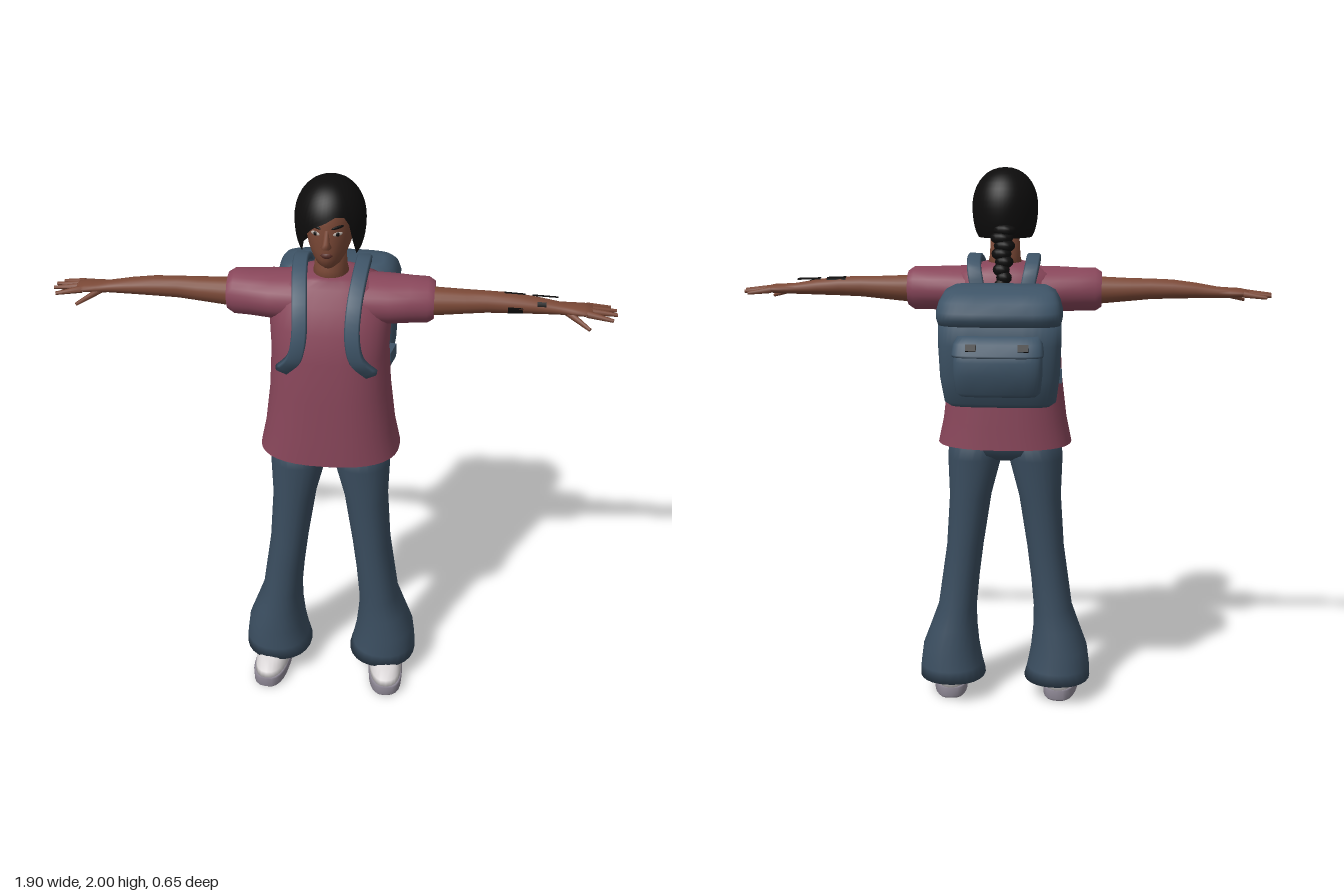
import * as THREE from 'three';

const mat = (name, color, side = THREE.FrontSide) => {
  const m = new THREE.MeshStandardMaterial({ color, side });
  m.name = name;
  return m;
};

// Stacks superellipse rings [y, cx, cz, rx, rz] into a smooth skin
function loft(rings, { n = 2, seg = 24, bottom = true, top = true } = {}) {
  const pos = [], idx = [];
  const bend = v => Math.sign(v) * Math.abs(v) ** (2 / n);
  for (const [y, cx, cz, rx, rz] of rings) {
    for (let k = 0; k < seg; k++) {
      const a = k / seg * Math.PI * 2;
      pos.push(cx + rx * bend(Math.cos(a)), y, cz + rz * bend(Math.sin(a)));
    }
  }
  for (let j = 0; j < rings.length - 1; j++) {
    for (let k = 0; k < seg; k++) {
      const a = j * seg + k, b = j * seg + (k + 1) % seg;
      idx.push(a, a + seg, b, a + seg, b + seg, b);
    }
  }
  const cap = (j, up) => {
    const [y, cx, cz] = rings[j], c = pos.length / 3;
    pos.push(cx, y, cz);
    for (let k = 0; k < seg; k++) {
      const a = j * seg + k, b = j * seg + (k + 1) % seg;
      idx.push(c, up ? b : a, up ? a : b);
    }
  };
  if (bottom) cap(0, false);
  if (top) cap(rings.length - 1, true);
  return build(pos, idx);
}

function build(pos, idx) {
  const g = new THREE.BufferGeometry();
  g.setAttribute('position', new THREE.Float32BufferAttribute(pos, 3));
  g.setIndex(idx);
  g.computeVertexNormals();
  return g;
}

// Same loft running along x, rings [x, cy, cz, ry, rz]
const loftX = (rings, opts) =>
  loft(rings.map(([x, cy, cz, ry, rz]) => [x, -cy, cz, ry, rz]), opts).rotateZ(-Math.PI / 2);

// Rings given by front and back limits: [y, halfWidth, zBack, zFront]
const span = rows => rows.map(([y, rx, z0, z1]) => [y, 0, (z0 + z1) / 2, rx, (z1 - z0) / 2]);

// Tapered rod between two points
function rod(a, b, r0, r1) {
  const p = new THREE.Vector3(...a), q = new THREE.Vector3(...b), d = q.clone().sub(p);
  const g = new THREE.CylinderGeometry(r1, r0, d.length(), 8);
  g.applyQuaternion(new THREE.Quaternion().setFromUnitVectors(new THREE.Vector3(0, 1, 0), d.normalize()));
  const m = p.add(q).multiplyScalar(0.5);
  return g.translate(m.x, m.y, m.z);
}

// Flat webbing that follows a curve
function strap(points, w, t, steps = 28) {
  const curve = new THREE.CatmullRomCurve3(points.map(p => new THREE.Vector3(...p)));
  const pos = [], idx = [];
  for (let i = 0; i <= steps; i++) {
    const p = curve.getPoint(i / steps), T = curve.getTangent(i / steps);
    const W = new THREE.Vector3(1, 0, 0).addScaledVector(T, -T.x).normalize();
    const N = T.clone().cross(W);
    for (const [a, b] of [[1, .4], [.8, 1], [-.8, 1], [-1, .4], [-1, -1], [1, -1]]) {
      const v = p.clone().addScaledVector(W, a * w / 2).addScaledVector(N, b * t / 2);
      pos.push(v.x, v.y, v.z);
    }
  }
  for (let i = 0; i < steps; i++) {
    for (let k = 0; k < 6; k++) {
      const a = i * 6 + k, b = i * 6 + (k + 1) % 6;
      idx.push(a, b, a + 6, a + 6, b, b + 6);
    }
  }
  const e = steps * 6;
  for (let k = 1; k < 5; k++) idx.push(0, k + 1, k, e, e + k, e + k + 1);
  return build(pos, idx);
}

// Hair shell whose hem height changes around the head
function hairShell() {
  const hem = [[-3.15, 2.45], [-1.15, 2.5], [-.85, 2.2], [-.65, 1.75], [-.35, 1.5], [0, 1.35],
    [.25, 1.22], [.6, 1.27], [.82, 2], [1.15, 2.5], [3.15, 2.45]];
  const hemAt = a => {
    const i = hem.findIndex(h => h[0] >= a), [a0, h0] = hem[Math.max(i - 1, 0)], [a1, h1] = hem[Math.max(i, 1)];
    return THREE.MathUtils.mapLinear(a, a0, a1, h0, h1);
  };
  const seg = 48, rows = 14, pos = [], idx = [];
  for (let j = 0; j <= rows; j++) {
    for (let k = 0; k < seg; k++) {
      const a = -Math.PI + k / seg * Math.PI * 2, phi = (.001 + j / rows) * hemAt(a);
      const r = Math.sin(phi) ** (phi > Math.PI / 2 ? .4 : .9);
      pos.push(.117 * r * Math.sin(a), 1.865 + .135 * Math.cos(phi), .114 + .134 * r * Math.cos(a));
    }
  }
  for (let j = 0; j < rows; j++) {
    for (let k = 0; k < seg; k++) {
      const a = j * seg + k, b = j * seg + (k + 1) % seg;
      idx.push(a, a + seg, b, b, a + seg, b + seg);
    }
  }
  return build(pos, idx);
}

function mirrored(g) {
  const m = g.clone().scale(-1, 1, 1), ix = m.index.array;
  for (let i = 0; i < ix.length; i += 3) [ix[i], ix[i + 1]] = [ix[i + 1], ix[i]];
  m.computeVertexNormals();
  return m;
}

export function createModel() {
  const D = THREE.DoubleSide;
  const skin = mat('skin', 0x7a4836), shirt = mat('shirt', 0x88465a, D), denim = mat('denim', 0x3a4d5f);
  const canvas = mat('canvas', 0x3e5467), black = mat('black', 0x0d0c0c, D), white = mat('shoe white', 0xd6d2d3);
  const rubber = mat('sole grey', 0x908a97), eyeWhite = mat('eye white', 0xb5a8a0), lip = mat('lip', 0x5c3029);
  const root = new THREE.Group();
  const add = (name, g, m) => {
    const mesh = new THREE.Mesh(g, m);
    mesh.name = name;
    root.add(mesh);
  };
  const both = (name, g, m) => {
    add(name + 'Left', g, m);
    add(name + 'Right', mirrored(g), m);
  };

  // Shirt
  add('shirtBody', loft(span([[1.01, .245, -.065, .295], [1.1, .226, -.06, .293], [1.25, .208, -.055, .287],
    [1.4, .2, -.045, .28], [1.5, .205, -.038, .262], [1.58, .2, -.03, .23], [1.635, .17, -.015, .195],
    [1.66, .11, .01, .185], [1.67, .065, .03, .18]]), { n: 2.5, seg: 36, bottom: false }), shirt);
  both('sleeve', loftX([[.1, 1.57, .1, .085, .11], [.2, 1.573, .1, .08, .105], [.27, 1.573, .098, .077, .09],
    [.325, 1.573, .097, .077, .08], [.347, 1.573, .097, .062, .07]], { bottom: false, top: false }), shirt);

  // Jeans
  add('hips', loft(span([[.945, .06, .05, .18], [.97, .17, .01, .235], [1.02, .215, -.01, .245],
    [1.12, .19, -.01, .24]]), { n: 2.4 }), denim);
  both('flaredLeg', loft([[.085, .2, .11, .125, .14], [.13, .205, .112, .118, .134], [.2, .207, .115, .107, .125],
    [.28, .196, .118, .088, .113], [.36, .182, .122, .073, .103], [.48, .168, .125, .07, .1],
    [.6, .152, .126, .069, .098], [.8, .13, .122, .078, .104], [.95, .113, .12, .1, .116],
    [1.05, .105, .118, .1, .12]], { n: 2.2 }), denim);

  // Shoes, toes turned slightly out
  const shoe = (rows, n) => loft(rows.map(([y, z, rx, rz]) => [y, 0, z, rx, rz]), { n })
    .rotateY(.1).translate(.198, 0, 0);
  both('shoeSole', shoe([[0, .178, .057, .136], [.008, .178, .063, .143], [.042, .178, .065, .144],
    [.046, .178, .06, .14]], 2.8), rubber);
  both('shoeUpper', shoe([[.04, .178, .062, .142], [.065, .172, .06, .135], [.09, .15, .054, .113],
    [.105, .125, .047, .08], [.13, .11, .04, .06]], 2.4), white);

  // Arms and hands
  both('arm', loftX([[.18, 1.572, .1, .05, .048], [.35, 1.57, .1, .048, .047], [.45, 1.573, .098, .041, .042],
    [.52, 1.576, .098, .037, .037], [.6, 1.576, .098, .034, .038], [.68, 1.572, .098, .028, .034],
    [.76, 1.566, .099, .02, .028], [.8, 1.565, .1, .018, .037], [.84, 1.565, .1, .016, .042],
    [.868, 1.563, .1, .011, .038]], { seg: 18 }), skin);
  for (const [name, a, b] of [['littleFinger', [.85, 1.563, .069], [.93, 1.553, .05]],
    ['ringFinger', [.855, 1.563, .089], [.948, 1.556, .08]], ['middleFinger', [.855, 1.564, .109], [.95, 1.558, .115]],
    ['indexFinger', [.85, 1.563, .128], [.935, 1.555, .153]], ['thumb', [.785, 1.56, .115], [.86, 1.53, .178]]]) {
    both(name, rod(a, b, .0125, .006), skin);
  }

  // Dark patches on the left forearm
  for (const [x, len, r, mid, arc] of [[.61, .07, .0385, -1.9, .8], [.71, .085, .034, -1.8, .7],
    [.615, .05, .0385, .25, .7], [.7, .03, .034, -.5, .5]]) {
    add('forearmPatch', new THREE.CylinderGeometry(r - .003, r, len, 6, 1, true, mid - arc / 2, arc)
      .rotateZ(-Math.PI / 2).translate(x, 1.573, .098), black);
  }

  // Head and face
  add('neck', loft([[1.63, 0, .1, .068, .078], [1.69, 0, .105, .055, .066], [1.78, 0, .105, .05, .062]]), skin);
  add('head', loft([[1.718, 0, .16, .022, .04], [1.735, 0, .148, .042, .077], [1.76, 0, .135, .058, .1],
    [1.79, 0, .125, .07, .114], [1.83, 0, .12, .079, .119], [1.88, 0, .115, .083, .123],
    [1.93, 0, .112, .08, .115], [1.97, 0, .112, .055, .08]]), skin);
  add('nose', loft([[1.802, 0, .236, .012, .012], [1.81, 0, .242, .018, .023], [1.825, 0, .24, .011, .017],
    [1.865, 0, .233, .007, .006]], { seg: 10 }), skin);
  add('mouth', loft([[1.768, 0, .228, .012, .009], [1.777, 0, .229, .022, .013], [1.786, 0, .23, .015, .011]],
    { seg: 12 }), lip);
  const facePlate = (w, h, y, z, tilt) => new THREE.SphereGeometry(1, 12, 8).scale(w, h, .004)
    .rotateZ(tilt).rotateY(.5).translate(.036, y, z);
  both('eye', facePlate(.017, .007, 1.853, .23, .08), eyeWhite);
  both('iris', facePlate(.007, .007, 1.853, .233, 0), black);
  both('eyebrow', facePlate(.022, .005, 1.876, .231, .15), black);
  both('ear', new THREE.SphereGeometry(1, 10, 8).scale(.012, .03, .02).translate(.083, 1.83, .11), skin);

  // Hair and braid
  add('hair', hairShell(), black);
  for (let i = 0; i < 8; i++) {
    const t = i / 7, r = .043 - .018 * t;
    add('braidKnot', new THREE.SphereGeometry(1, 12, 8).scale(r, .024, r * .85)
      .translate((i % 2 ? 1 : -1) * .005, 1.79 - .19 * t, .008 - .043 * t), black);
  }

  // Backpack
  add('packBody', loft(span([[1.195, .175, -.185, -.06], [1.21, .195, -.2, -.05], [1.3, .207, -.245, -.045],
    [1.42, .212, -.262, -.045], [1.52, .21, -.262, -.045]]), { n: 4, seg: 40 }), canvas);
  add('packFlap', loft(span([[1.488, .211, -.268, -.044], [1.51, .216, -.285, -.042], [1.535, .216, -.29, -.042],
    [1.568, .207, -.268, -.042], [1.597, .19, -.225, -.045], [1.612, .16, -.17, -.06]]), { n: 4, seg: 40 }), canvas);
  add('packPocket', loft(span([[1.25, .13, -.275, -.2], [1.265, .145, -.298, -.2], [1.33, .152, -.318, -.2],
    [1.375, .152, -.322, -.2], [1.4, .15, -.312, -.2], [1.43, .148, -.298, -.2], [1.452, .135, -.275, -.2]]),
  { n: 4, seg: 32 }), canvas);
  add('pocketFlap', loft(span([[1.392, .155, -.322, -.2], [1.4, .157, -.325, -.2], [1.435, .152, -.305, -.2],
    [1.458, .138, -.28, -.2]]), { n: 4, seg: 32 }), canvas);
  both('buckle', new THREE.BoxGeometry(.036, .024, .012).rotateX(.5).translate(.088, 1.425, -.312), black);

  // Shoulder straps and side tabs
  both('shoulderStrap', strap([[.085, 1.58, -.05], [.1, 1.655, -.025], [.105, 1.69, .06], [.1, 1.672, .15],
    [.09, 1.6, .238], [.088, 1.5, .279], [.105, 1.42, .279], [.15, 1.36, .25]], .05, .022), canvas);
  both('sideTab', new THREE.BoxGeometry(.022, .05, .075).rotateY(-.2).translate(.195, 1.285, -.035), canvas);

  return root;
}
